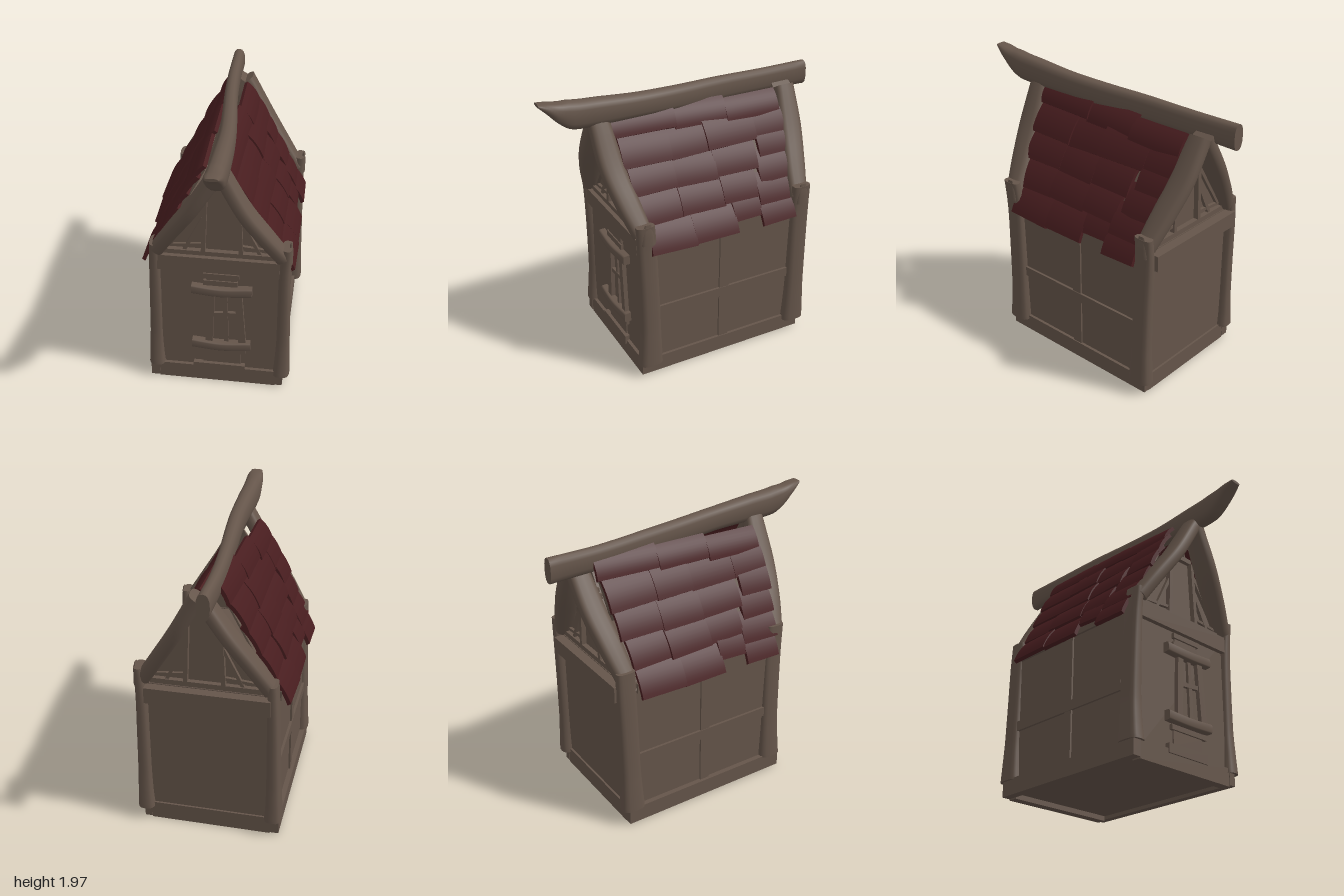
import * as THREE from 'three';

const wood = new THREE.MeshStandardMaterial({ color: 0x65554a });
wood.name = 'weatheredWood';
const clay = new THREE.MeshStandardMaterial({ color: 0x481d1f });
clay.name = 'redTile';

const V = (x, y, z) => new THREE.Vector3(x, y, z);

function add(parent, name, geometry, material = wood) {
  const mesh = new THREE.Mesh(geometry, material);
  mesh.name = name;
  parent.add(mesh);
  return mesh;
}

// Box given by its limits on each axis
function block(parent, name, [x0, x1], [y0, y1], [z0, z1]) {
  const mesh = add(parent, name, new THREE.BoxGeometry(x1 - x0, y1 - y0, z1 - z0));
  mesh.position.set((x0 + x1) / 2, (y0 + y1) / 2, (z0 + z1) / 2);
}

// Straight slat between two points in the x-y plane
function slat(parent, name, [x0, y0], [x1, y1], width, z, depth) {
  const len = Math.hypot(x1 - x0, y1 - y0);
  const mesh = add(parent, name, new THREE.BoxGeometry(len, width, depth));
  mesh.position.set((x0 + x1) / 2, (y0 + y1) / 2, z);
  mesh.rotation.z = Math.atan2(y1 - y0, x1 - x0);
}

// Rough-hewn log: rounded sections [x, y, z, halfU, halfV] lofted along a curve
function log(parent, name, sections, u, v, steps = 20, roundness = 0.7) {
  const sides = 16;
  const path = new THREE.CatmullRomCurve3(sections.map(s => V(s[0], s[1], s[2])));
  const size = new THREE.CatmullRomCurve3(sections.map(s => V(s[3], s[4], 0)));
  const pos = [], idx = [];
  const along = path.getPoint(1).sub(path.getPoint(0));
  const flip = u.clone().cross(v).dot(along) < 0;
  const tri = (a, b, c) => (flip ? idx.push(a, c, b) : idx.push(a, b, c));
  const soft = t => Math.sign(t) * Math.pow(Math.abs(t), roundness);
  const ring = t => {
    const c = path.getPoint(t), r = size.getPoint(t);
    for (let j = 0; j < sides; j++) {
      const a = (j / sides) * Math.PI * 2;
      const p = c.clone().addScaledVector(u, soft(Math.cos(a)) * r.x).addScaledVector(v, soft(Math.sin(a)) * r.y);
      pos.push(p.x, p.y, p.z);
    }
  };
  for (let i = 0; i <= steps; i++) ring(i / steps);
  for (let i = 0; i < steps; i++) {
    for (let j = 0; j < sides; j++) {
      const a = i * sides + j, b = i * sides + (j + 1) % sides;
      tri(a, b, b + sides);
      tri(a, b + sides, a + sides);
    }
  }
  // End caps with their own vertices
  for (const end of [0, 1]) {
    const base = pos.length / 3;
    ring(end);
    for (let j = 1; j < sides - 1; j++) {
      if (end) tri(base, base + j, base + j + 1);
      else tri(base, base + j + 1, base + j);
    }
  }
  const g = new THREE.BufferGeometry();
  g.setAttribute('position', new THREE.Float32BufferAttribute(pos, 3));
  g.setIndex(idx);
  g.computeVertexNormals();
  add(parent, name, g);
}

// Clay tile bowed along the slope: x runs down the slope, z along the eaves
function tileGeometry(length, width) {
  const g = new THREE.BoxGeometry(length, 0.026, width, 8, 1, 1);
  const p = g.attributes.position;
  for (let i = 0; i < p.count; i++) {
    const t = p.getX(i) / (length / 2);
    p.setY(i, p.getY(i) + 0.014 * (1 - t * t) - 0.01);
  }
  g.computeVertexNormals();
  return g;
}

function buildRoofSide(parent, name, side, seed) {
  const roof = new THREE.Group();
  roof.name = name;
  parent.add(roof);
  if (side < 0) {
    roof.rotation.y = Math.PI;
    roof.position.z = -0.17;
  }
  const rand = () => (seed = (seed * 16807) % 2147483647) / 2147483647;
  const bottom = [0.505, 0.975], top = side > 0 ? [0.055, 1.775] : [0.08, 1.79];
  const dx = bottom[0] - top[0], dy = top[1] - bottom[1];
  const angle = Math.atan2(dy, dx), total = Math.hypot(dx, dy);
  const nx = Math.sin(angle), ny = Math.cos(angle);
  // Course number, tile joints along the eaves, and how far each tile has slipped down
  const courses = [
    [0, [0.45, 0.13, -0.18, -0.38, -0.63], [0, 0.01, -0.07, 0]],
    [1, [0.46, 0.18, -0.13, -0.39, -0.66], [0, 0, -0.01, 0.06]],
    [2, [0.49, 0.18, -0.12, -0.43, -0.68], [0, 0.01, 0, 0.1]],
    [3, [0.51, 0.17, -0.1, -0.47, -0.7], [0.01, 0.01, 0, 0.13]],
    [3, [-0.45, -0.7], [0]],
    [4, [0.535, 0.09, -0.29, -0.69], [-0.01, 0.01, 0.04]],
  ];
  for (const [row, joints, slips] of courses) {
    const len = row === 4 ? 0.17 : 0.225;
    slips.forEach((slip, i) => {
      const s = total - row * 0.192 - len / 2 - rand() * 0.015 + slip;
      const lift = -0.01 + rand() * 0.012;
      const tile = add(roof, 'roofTile', tileGeometry(len, joints[i] - joints[i + 1] + 0.008), clay);
      tile.position.set(top[0] + Math.cos(angle) * s + nx * lift, top[1] - Math.sin(angle) * s + ny * lift,
        (joints[i] + joints[i + 1]) / 2);
      tile.rotation.set((rand() - 0.5) * 0.05, (rand() - 0.5) * 0.08, -angle + 0.09, 'ZYX');
    });
  }
  // Boarding under the tiles
  const deck = add(roof, 'roofBoarding', new THREE.BoxGeometry(total - 0.14, 0.012, 1.12));
  deck.position.set((top[0] + bottom[0]) / 2 - nx * 0.04, (top[1] + bottom[1]) / 2 - ny * 0.04, -0.085);
  deck.rotation.z = -angle;
}

function buildGable(parent, name, z, out) {
  const gable = new THREE.Group();
  gable.name = name;
  parent.add(gable);
  const shape = new THREE.Shape([[-0.4, 1.06], [0.43, 1.06], [0.03, 1.7]].map(p => new THREE.Vector2(...p)));
  const wall = add(gable, 'gableWall', new THREE.ExtrudeGeometry(shape, { depth: 0.02, bevelEnabled: false }));
  wall.position.z = z - 0.01;
  const f = z + out * 0.02;
  slat(gable, 'gableRail', [-0.36, 1.09], [0.39, 1.09], 0.035, f, 0.05);
  slat(gable, 'gableCollar', [-0.06, 1.575], [0.13, 1.575], 0.035, f, 0.04);
  for (const s of [-1, 1]) {
    const x = d => 0.033 + s * d;
    slat(gable, 'gableStud', [x(0.125), 1.08], [x(0.105), 1.56], 0.028, f, 0.05);
    slat(gable, 'outerBrace', [x(0.35), 1.13], [x(0.12), 1.48], 0.024, f, 0.03);
    slat(gable, 'innerBrace', [x(0.25), 1.1], [x(0.12), 1.36], 0.022, f, 0.03);
    slat(gable, 'lowBrace', [x(0.34), 1.13], [x(0.13), 1.15], 0.02, f, 0.024);
  }
}

export function createModel() {
  const house = new THREE.Group();
  house.name = 'timberHouse';
  const X = V(1, 0, 0), Y = V(0, 1, 0), Z = V(0, 0, 1);

  // Walls and sill frame
  block(house, 'walls', [-0.435, 0.44], [0.04, 1.07], [-0.708, 0.502]);
  block(house, 'frontSill', [-0.41, 0.41], [0.005, 0.13], [0.46, 0.525]);
  block(house, 'backSill', [-0.41, 0.41], [0.005, 0.13], [-0.722, -0.655]);
  block(house, 'rightSill', [-0.47, -0.41], [0.015, 0.13], [-0.725, 0.53]);
  block(house, 'leftSill', [0.41, 0.46], [0.015, 0.13], [-0.725, 0.53]);

  // Side wall timbers
  for (const [x0, x1] of [[-0.452, -0.42], [0.428, 0.457]]) {
    block(house, 'sideRail', [x0, x1], [0.47, 0.54], [-0.63, 0.4]);
    block(house, 'sideStud', [x0 + 0.004, x1 - 0.004], [0.12, 1.07], [-0.14, -0.07]);
    block(house, 'wallPlate', [x0, x1], [1.0, 1.07], [-0.63, 0.4]);
  }

  // Corner posts with flared feet, and bowed rafters meeting at each gable top
  const ends = [
    { tag: 'front', post: [0.465, 0.462, 0.46, 0.465, 0.475, 0.49], gz: [0.49, 0.537, 0.58, 0.605], tip: 1.775 },
    { tag: 'back', post: [-0.683, -0.685, -0.687, -0.69, -0.695, -0.695], gz: [-0.685, -0.72, -0.758, -0.783], tip: 1.75 },
  ];
  const heights = [0.1, 0.22, 0.4, 0.7, 1.0, 1.19];
  const centres = { Right: [-0.427, -0.428, -0.425, -0.42, -0.415, -0.41], Left: [0.447, 0.45, 0.45, 0.448, 0.447, 0.458] };
  const rafters = {
    Right: [[-0.4, 1.1], [-0.283, 1.285], [-0.148, 1.485]],
    Left: [[0.435, 1.1], [0.317, 1.285], [0.192, 1.485]],
  };
  for (const { tag, post, gz, tip } of ends) {
    for (const hand of ['Right', 'Left']) {
      const s = hand === 'Left' ? 1 : -1;
      log(house, `${tag}${hand}Post`, heights.map((y, i) => [centres[hand][i], s < 0 ? y - i * 0.01 + 0.02 : y,
        post[i], [0.06, 0.053, 0.047, 0.043, 0.038, 0.033][i], [0.085, 0.078, 0.07, 0.068, 0.067, 0.065][i]]), X, Z);
      const pts = [...rafters[hand], [0.035 + s * 0.01, tip]];
      log(house, `${tag}${hand}Rafter`, pts.map(([x, y], i) => [x, y, gz[i], 0.05, [0.066, 0.08, 0.084, 0.072][i]]),
        V(s * 0.83, 0.55, 0), Z);
    }
  }
  // Pointed stubs on the model's left posts
  for (const z of [0.48, -0.695]) {
    log(house, 'postSpike', [[0.46, 1.06, z, 0.035, 0.05], [0.472, 1.14, z, 0.022, 0.04], [0.483, 1.21, z, 0.004, 0.02]], X, Z, 6);
  }

  // Tie beams and gables
  block(house, 'frontTieBeam', [-0.405, 0.415], [0.96, 1.075], [0.44, 0.535]);
  block(house, 'backTieBeam', [-0.405, 0.415], [0.955, 1.065], [-0.775, -0.65]);
  buildGable(house, 'frontGable', 0.46, 1);
  buildGable(house, 'backGable', -0.66, -1);

  // Window with lintel, sill and apron boards
  const win = new THREE.Group();
  win.name = 'window';
  house.add(win);
  for (const [name, y, x0, x1] of [['lintel', 0.812, -0.168, 0.238], ['windowSill', 0.342, -0.17, 0.232]]) {
    log(win, name, [[x0, y + 0.006, 0.51, 0.034, 0.04], [0.03, y - 0.004, 0.516, 0.033, 0.042],
      [x1, y + 0.008, 0.51, 0.034, 0.04]], Y, Z, 10, 0.4);
  }
  const f = 0.507;
  slat(win, 'jamb', [-0.055, 0.36], [-0.035, 0.79], 0.05, f, 0.05);
  slat(win, 'jamb', [0.175, 0.36], [0.145, 0.79], 0.05, f, 0.05);
  slat(win, 'mullion', [0.065, 0.36], [0.055, 0.79], 0.03, f, 0.03);
  slat(win, 'crossbar', [-0.03, 0.6], [0.14, 0.615], 0.03, f, 0.034);
  block(win, 'topBoard', [-0.09, 0.15], [0.91, 0.945], [0.48, 0.525]);
  block(win, 'upperBoard', [-0.09, 0.14], [0.845, 0.885], [0.48, 0.52]);
  block(win, 'neckBoard', [-0.07, 0.135], [0.885, 0.91], [0.48, 0.512]);
  block(win, 'apronBoard', [-0.125, 0.2], [0.265, 0.3], [0.48, 0.525]);
  block(win, 'apronPanel', [-0.1, 0.165], [0.165, 0.265], [0.48, 0.512]);
  block(win, 'baseBoard', [-0.165, 0.195], [0.1, 0.165], [0.48, 0.535]);

  // Roof tiles
  buildRoofSide(house, 'leftRoof', 1, 11);
  buildRoofSide(house, 'rightRoof', -1, 29);

  // Ridge log from the horned front end to the back: [z, top, bottom, x, half width]
  const ridge = [
    [1, 1.97, 1.95, 0.045, 0.04], [0.94, 1.965, 1.89, 0.045, 0.058], [0.87, 1.955, 1.815, 0.045, 0.063],
    [0.78, 1.95, 1.76, 0.045, 0.064], [0.6, 1.935, 1.75, 0.045, 0.062], [0.3, 1.91, 1.745, 0.04, 0.056],
    [0, 1.895, 1.73, 0.015, 0.052], [-0.3, 1.885, 1.72, -0.015, 0.047], [-0.65, 1.87, 1.71, -0.038, 0.044],
    [-1, 1.87, 1.7, -0.044, 0.043],
  ];
  log(house, 'ridgeLog', ridge.map(([z, t, b, x, w]) => [x, (t + b) / 2, z, w, (t - b) / 2]), X, Y, 36, 0.8);
  return house;
}
